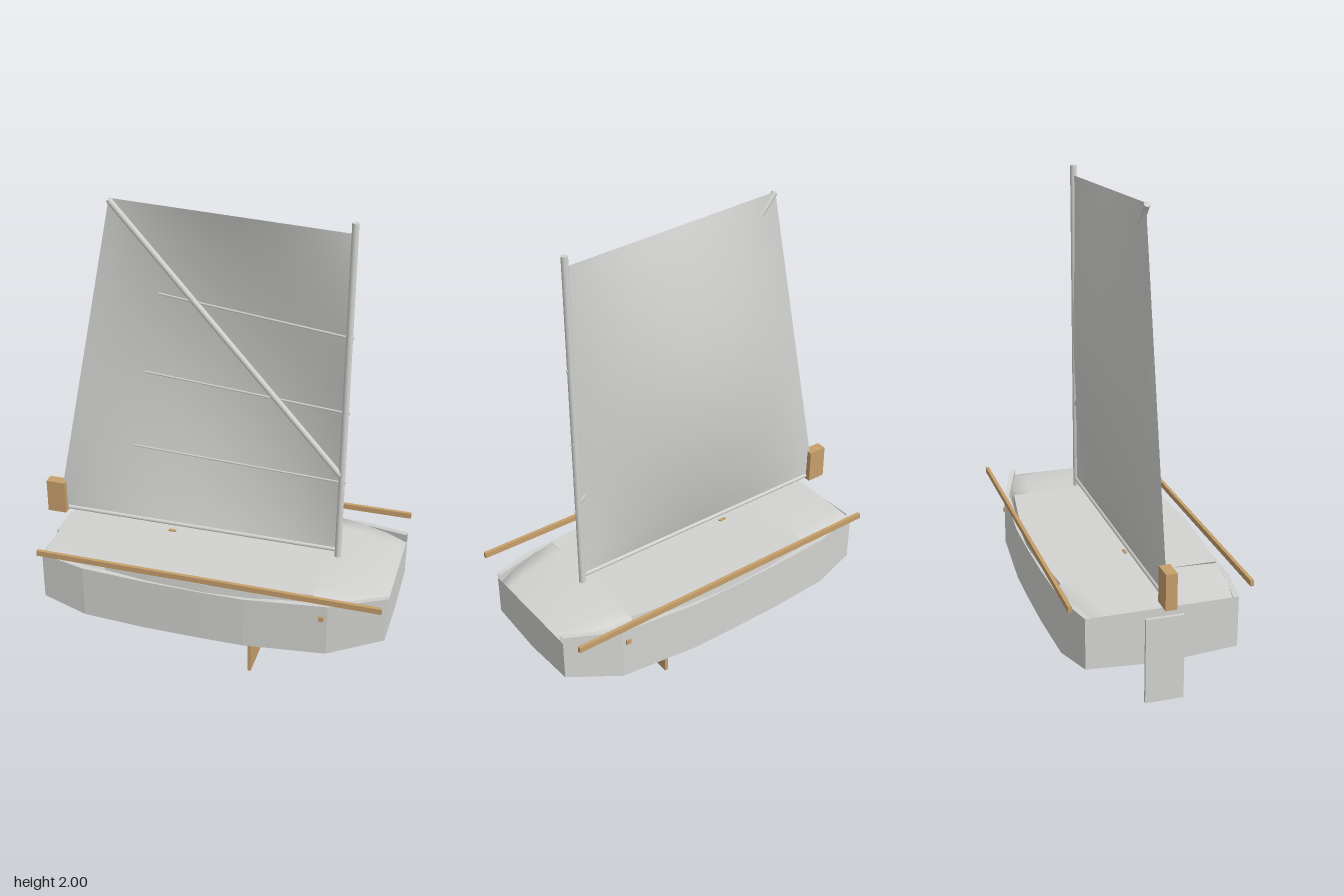
import * as THREE from 'three';

const grey = new THREE.MeshStandardMaterial({ color: 0xd2d2d0, side: THREE.DoubleSide });
grey.name = 'pale grey';
const wood = new THREE.MeshStandardMaterial({ color: 0xc69f6b, side: THREE.DoubleSide });
wood.name = 'wood';

// Surface through rows of points; every row has the same length
function loft(rows, smooth = true) {
  const n = rows[0].length, index = [];
  for (let i = 0; i < rows.length - 1; i++) {
    for (let j = 0; j < n - 1; j++) {
      const a = i * n + j, b = a + n;
      index.push(a, a + 1, b, b, a + 1, b + 1);
    }
  }
  let geo = new THREE.BufferGeometry();
  geo.setAttribute('position', new THREE.Float32BufferAttribute(rows.flat(2), 3));
  geo.setIndex(index);
  if (!smooth) geo = geo.toNonIndexed();
  geo.computeVertexNormals();
  return geo;
}

// Hull stations: x, outer half width, sheer height, chine height, keel height
const stations = [
  [-0.66, 0.295, 0.57, 0.365, 0.345],
  [-0.47, 0.335, 0.562, 0.337, 0.34],
  [-0.2, 0.343, 0.555, 0.33, 0.337],
  [0.04, 0.345, 0.552, 0.33, 0.335],
  [0.2, 0.343, 0.552, 0.33, 0.337],
  [0.53, 0.32, 0.568, 0.345, 0.35],
  [0.745, 0.243, 0.596, 0.4, 0.38],
];
const WALL = 0.022;

export function createModel() {
  const group = new THREE.Group();
  const add = (name, geo, mat, x = 0, y = 0, z = 0) => {
    const mesh = new THREE.Mesh(geo, mat);
    mesh.name = name;
    mesh.position.set(x, y, z);
    group.add(mesh);
    return mesh;
  };
  const box = (name, mat, x0, x1, y0, y1, z0, z1) =>
    add(name, new THREE.BoxGeometry(x1 - x0, y1 - y0, z1 - z0), mat,
      (x0 + x1) / 2, (y0 + y1) / 2, (z0 + z1) / 2);
  const rod = (name, a, b, r, sides = 10) => {
    const from = new THREE.Vector3(...a), to = new THREE.Vector3(...b);
    const dir = to.clone().sub(from);
    const mesh = add(name, new THREE.CylinderGeometry(r, r, dir.length(), sides), grey);
    mesh.position.copy(from).add(to).multiplyScalar(0.5);
    mesh.quaternion.setFromUnitVectors(new THREE.Vector3(0, 1, 0), dir.normalize());
    return mesh;
  };

  // Hull sides: faceted walls with a flat top edge
  for (const s of [1, -1]) {
    const rows = stations.map(([x, w, top, low]) => [
      [x, low, s * w], [x, top, s * w], [x, top, s * (w - WALL)], [x, low, s * (w - WALL)],
    ]);
    add(s > 0 ? 'rightHullSide' : 'leftHullSide', loft(rows, false), grey);
  }

  // Bottom: shallow smooth surface between the chines
  const across = [-1, -0.75, -0.5, -0.25, 0, 0.25, 0.5, 0.75, 1];
  add('hullBottom', loft(stations.map(([x, w, , low, keel]) => across.map((t) => [
    x, keel + (low - keel) * Math.abs(t) + 0.03 * Math.abs(t) * (1 - Math.abs(t)), t * w,
  ]))), grey);

  // Stern and bow panels
  for (const [name, k, top] of [['stern', 0, 0.57], ['bow', 6, 0.57]]) {
    const [x, w, , low, keel] = stations[k];
    add(name + 'Panel', loft([
      [[x, low, -w], [x, keel, 0], [x, low, w]],
      [[x, top, -w], [x, top, 0], [x, top, w]],
    ], false), grey);
  }

  // Decks: rows of x, half width, crown height, edge height
  const deck = (name, rows, smooth) => add(name, loft(rows.map(([x, w, crown, edge]) => [
    [x, 0.54, -w - 0.004],
    ...across.map((t) => [x, crown + (edge - crown) * t * t, t * w]),
    [x, 0.54, w + 0.004],
  ]), smooth), grey);
  deck('aftDeck', [
    [-0.66, 0.291, 0.572, 0.562], [-0.52, 0.305, 0.578, 0.566], [-0.38, 0.312, 0.58, 0.574],
  ], true);
  deck('middleDeck', [
    [-0.38, 0.312, 0.58, 0.58], [-0.2, 0.33, 0.583, 0.583], [0.04, 0.337, 0.586, 0.586],
    [0.25, 0.322, 0.589, 0.589], [0.465, 0.29, 0.592, 0.592],
  ], false);
  deck('foreDeck', [
    [0.465, 0.29, 0.592, 0.586], [0.55, 0.278, 0.592, 0.582],
    [0.66, 0.25, 0.585, 0.574], [0.745, 0.222, 0.57, 0.56],
  ], true);

  // Sail: four-cornered sheet bulging to one side
  const sailRows = [];
  for (let i = 0; i <= 20; i++) {
    const v = i / 20, row = [];
    const aftX = -0.7 + 0.28 * v, aftY = 0.63 + 1.365 * v, foreY = 0.63 + 1.32 * v;
    for (let j = 0; j <= 20; j++) {
      const u = j / 20;
      row.push([
        aftX + (0.492 - aftX) * u, aftY + (foreY - aftY) * u,
        -0.105 * Math.sin(Math.PI * u) ** 0.9 * Math.sin(Math.PI * v) ** 0.9,
      ]);
    }
    sailRows.push(row);
  }
  add('sail', loft(sailRows), grey);

  // Spars
  rod('mast', [0.5, 0.58, 0], [0.5, 1.99, 0], 0.013, 16);
  rod('boom', [-0.66, 0.622, 0], [0.5, 0.622, 0], 0.009);
  rod('sprit', [-0.42, 1.99, 0.004], [0.492, 0.97, 0.004], 0.012);

  // Reefing lines
  for (const [x, y0, y1] of [[-0.235, 1.64, 1.55], [-0.3, 1.305, 1.24], [-0.36, 0.968, 0.935]]) {
    rod('reefLine', [x, y0, 0], [0.517, y1, 0], 0.004, 6);
  }

  // Wooden side rails and pegs
  for (const s of [1, -1]) {
    box('sideRail', wood, -0.655, 0.74, 0.602, 0.625, s * 0.349 - 0.007, s * 0.349 + 0.007);
    box('sidePeg', wood, 0.495, 0.515, 0.5, 0.52, s * 0.322 - 0.006, s * 0.322 + 0.006);
  }
  box('deckCleat', wood, -0.215, -0.185, 0.575, 0.588, -0.006, 0.006);

  // Centreboard and rudder
  box('centreboard', wood, 0.155, 0.17, 0, 0.35, -0.093, 0.093);
  box('rudderHead', wood, -0.745, -0.665, 0.602, 0.745, -0.022, 0.022);
  box('rudderBlade', grey, -0.688, -0.676, 0.2, 0.545, -0.075, 0.075);

  return group;
}
